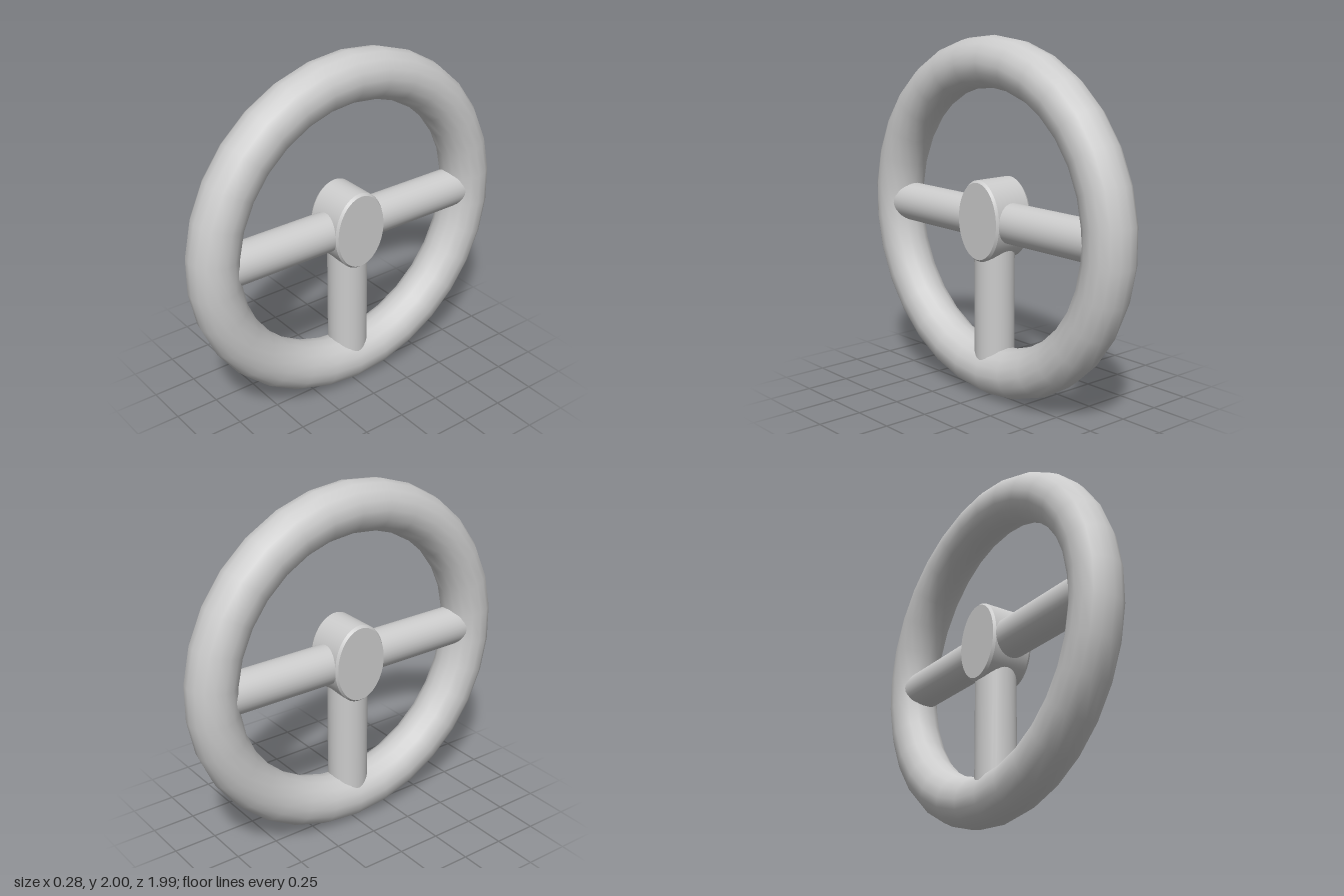
import * as THREE from 'three';
import { toCreasedNormals } from 'three/addons/utils/BufferGeometryUtils.js';

const RIM_RADIUS = 0.86, TUBE = 0.14, SPOKE_RADIUS = 0.112, CENTRE_Y = 1;

export function createModel() {
  const wheel = new THREE.Group();
  wheel.name = 'wheel';
  const material = new THREE.MeshStandardMaterial({ color: 0xcccccc });
  const add = (name, geometry) => {
    const mesh = new THREE.Mesh(geometry, material);
    mesh.name = name;
    wheel.add(mesh);
    return mesh;
  };

  // Thirty-sided rim standing in the y-z plane, one corner at the top
  const rim = new THREE.TorusGeometry(RIM_RADIUS, TUBE, 16, 30);
  rim.rotateZ(Math.PI / 2).rotateY(Math.PI / 2);
  add('rim', rim).position.y = CENTRE_Y;

  // Three round spokes: front, back and down, buried in hub and rim
  const spokes = { frontSpoke: Math.PI / 2, backSpoke: -Math.PI / 2, lowerSpoke: Math.PI };
  for (const [name, angle] of Object.entries(spokes)) {
    const spoke = new THREE.CylinderGeometry(SPOKE_RADIUS, SPOKE_RADIUS, 0.8, 32);
    spoke.translate(0, 0.43, 0).rotateX(angle);
    add(name, spoke).position.y = CENTRE_Y;
  }

  // Oval hub with a narrow chamfer round both faces
  const half = 0.125, chamfer = 0.015;
  const profile = [
    [0, -half], [0.945, -half], [1, -half + chamfer],
    [1, half - chamfer], [0.945, half], [0, half],
  ].map(([r, h]) => new THREE.Vector2(r, h));
  const hub = new THREE.LatheGeometry(profile, 48);
  hub.rotateZ(-Math.PI / 2).scale(1, 0.225, 0.163);
  add('hub', toCreasedNormals(hub, 0.5)).position.y = CENTRE_Y + 0.005;

  return wheel;
}
